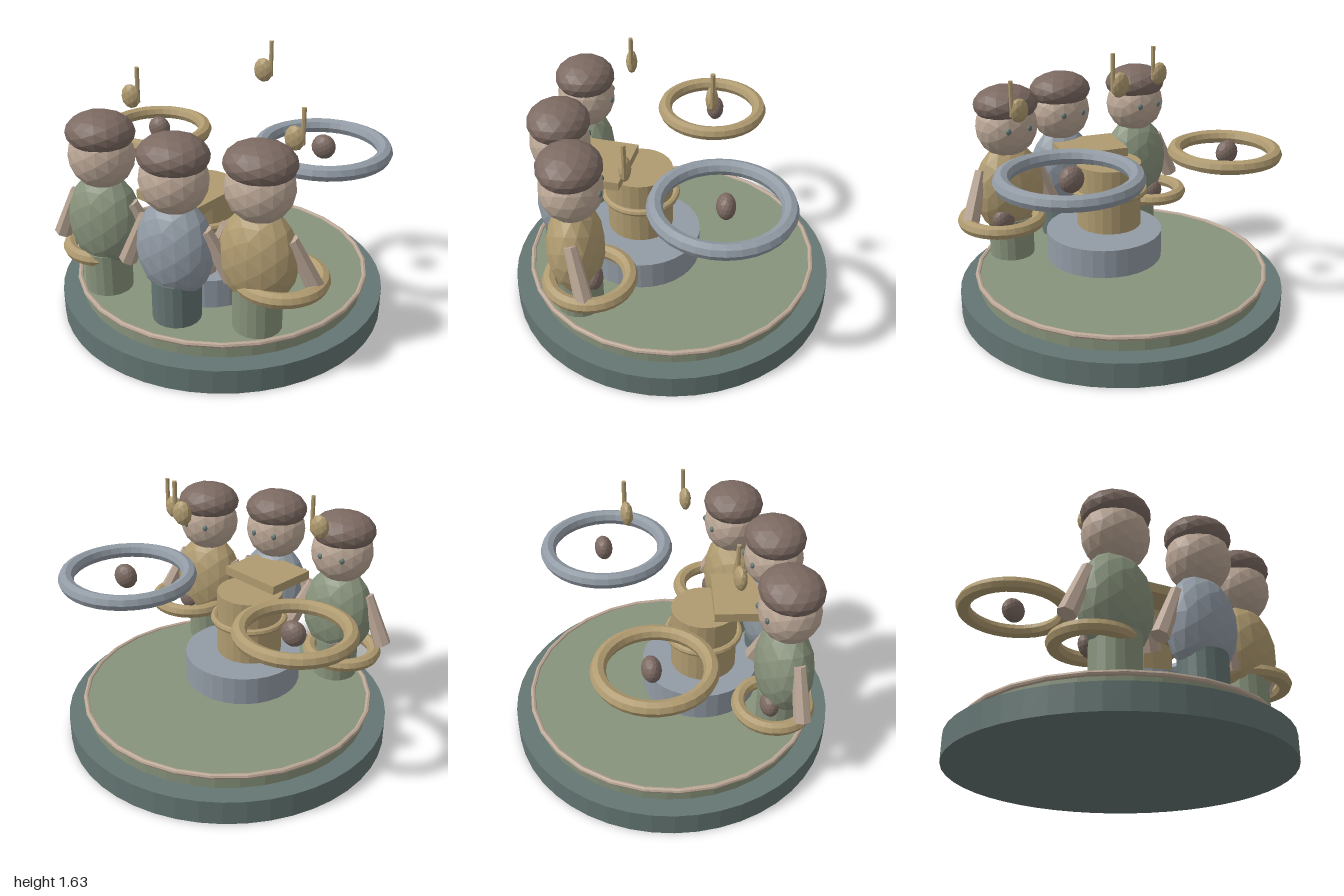
import * as THREE from 'three';

const mat = (name, color) => {
  const m = new THREE.MeshStandardMaterial({ color, flatShading: true });
  m.name = name;
  return m;
};

export function createModel() {
  const model = new THREE.Group();
  model.name = 'gathering';

  const slate = mat('slate', 0x647673);
  const sage = mat('sage', 0x88937c);
  const blue = mat('blueGrey', 0x929ba5);
  const gold = mat('gold', 0xb09b70);
  const skin = mat('skin', 0xbba796);
  const brown = mat('brown', 0x7c6a62);

  const add = (parent, name, geometry, material, x, y, z) => {
    const mesh = new THREE.Mesh(geometry, material);
    mesh.name = name;
    mesh.position.set(x, y, z);
    parent.add(mesh);
    return mesh;
  };
  const group = (name, x, y, z) => {
    const g = new THREE.Group();
    g.name = name;
    g.position.set(x, y, z);
    model.add(g);
    return g;
  };
  // Faceted ellipsoid
  const blob = (rx, ry, rz, detail = 2) =>
    new THREE.IcosahedronGeometry(1, detail).scale(rx, ry, rz);
  // Upright cylinder between two heights
  const drum = (parent, name, r, y0, y1, sides, material, x = 0, z = 0) =>
    add(parent, name, new THREE.CylinderGeometry(r, r, y1 - y0, sides), material, x, (y0 + y1) / 2, z);
  // Flat-lying ring
  const ring = (parent, name, R, tube, segments, material, x, y, z) =>
    add(parent, name, new THREE.TorusGeometry(R, tube, 8, segments).rotateX(Math.PI / 2), material, x, y, z);

  // Stepped round stage
  drum(model, 'base', 1, 0, 0.15, 48, slate);
  drum(model, 'stageFloor', 0.88, 0.15, 0.24, 40, sage);
  ring(model, 'stageTrim', 0.89, 0.016, 28, skin, 0, 0.236, 0);

  // Pedestal, barrel with hoop, and slanted-set board
  drum(model, 'pedestal', 0.366, 0.235, 0.42, 32, blue, 0, 0.19);
  drum(model, 'barrel', 0.203, 0.442, 0.85, 24, gold, -0.043, 0.197);
  ring(model, 'barrelHoop', 0.22, 0.022, 28, gold, -0.043, 0.672, 0.192);
  add(model, 'board', new THREE.BoxGeometry(0.414, 0.056, 0.33), gold, -0.042, 0.881, 0.42).rotation.y = -0.255;

  // Three people, looking towards the back
  const up = new THREE.Vector3(0, 1, 0);
  [
    ['leftPerson', -0.493, 0.542, sage, sage],
    ['middlePerson', 0.027, 0.652, blue, slate],
    ['rightPerson', 0.476, 0.547, gold, sage],
  ].forEach(([name, x, z, top, bottom]) => {
    const p = group(name, x, 0, z);
    drum(p, 'legs', 0.141, 0.235, 0.5, 18, bottom);
    add(p, 'body', blob(0.23, 0.3, 0.168), top, 0, 0.68, 0);
    add(p, 'head', blob(0.194, 0.194, 0.18), skin, 0, 1.09, 0);
    add(p, 'cap', blob(0.201, 0.118, 0.185), brown, 0, 1.23, 0);
    for (const s of [-1, 1]) {
      add(p, 'eye', blob(0.018, 0.02, 0.014, 1), slate, s * 0.07, 1.1, -0.162);
      const a = new THREE.Vector3(s * 0.185, 0.83, 0.005);
      const b = new THREE.Vector3(s * 0.312, 0.525, s > 0 ? -0.065 : 0);
      const arm = add(p, 'arm', new THREE.CylinderGeometry(0.038, 0.054, a.distanceTo(b), 7), skin, 0, 0, 0);
      arm.position.addVectors(a, b).multiplyScalar(0.5);
      arm.quaternion.setFromUnitVectors(up, a.clone().sub(b).normalize());
    }
  });

  // Floating rings, each around a small ball
  [
    ['backRing', -0.591, 0.938, -0.262, 0.306, 0.044, gold],
    ['largeBackRing', 0.533, 1.005, -0.272, 0.368, 0.047, blue],
    ['smallFrontRing', -0.57, 0.464, 0.458, 0.204, 0.042, gold],
    ['frontRing', 0.577, 0.528, 0.466, 0.23, 0.044, gold],
  ].forEach(([name, x, y, z, R, tube, material]) => {
    const g = group(name, x, y, z);
    ring(g, 'hoop', R, tube, 32, material, 0, 0, 0);
    add(g, 'ball', blob(0.074, 0.076, 0.055), brown, 0, 0, -0.02);
  });

  // Music notes in the air
  [
    [0.163, 1.455, -0.217],
    [-0.467, 1.345, 0.247],
    [0.545, 1.265, 0.247],
  ].forEach(([x, y, z]) => {
    const n = group('note', x, y, z);
    add(n, 'noteHead', blob(0.06, 0.073, 0.035, 1), gold, 0, 0, 0);
    drum(n, 'noteStem', 0.013, -0.03, 0.18, 8, gold, 0.047);
  });

  return model;
}
